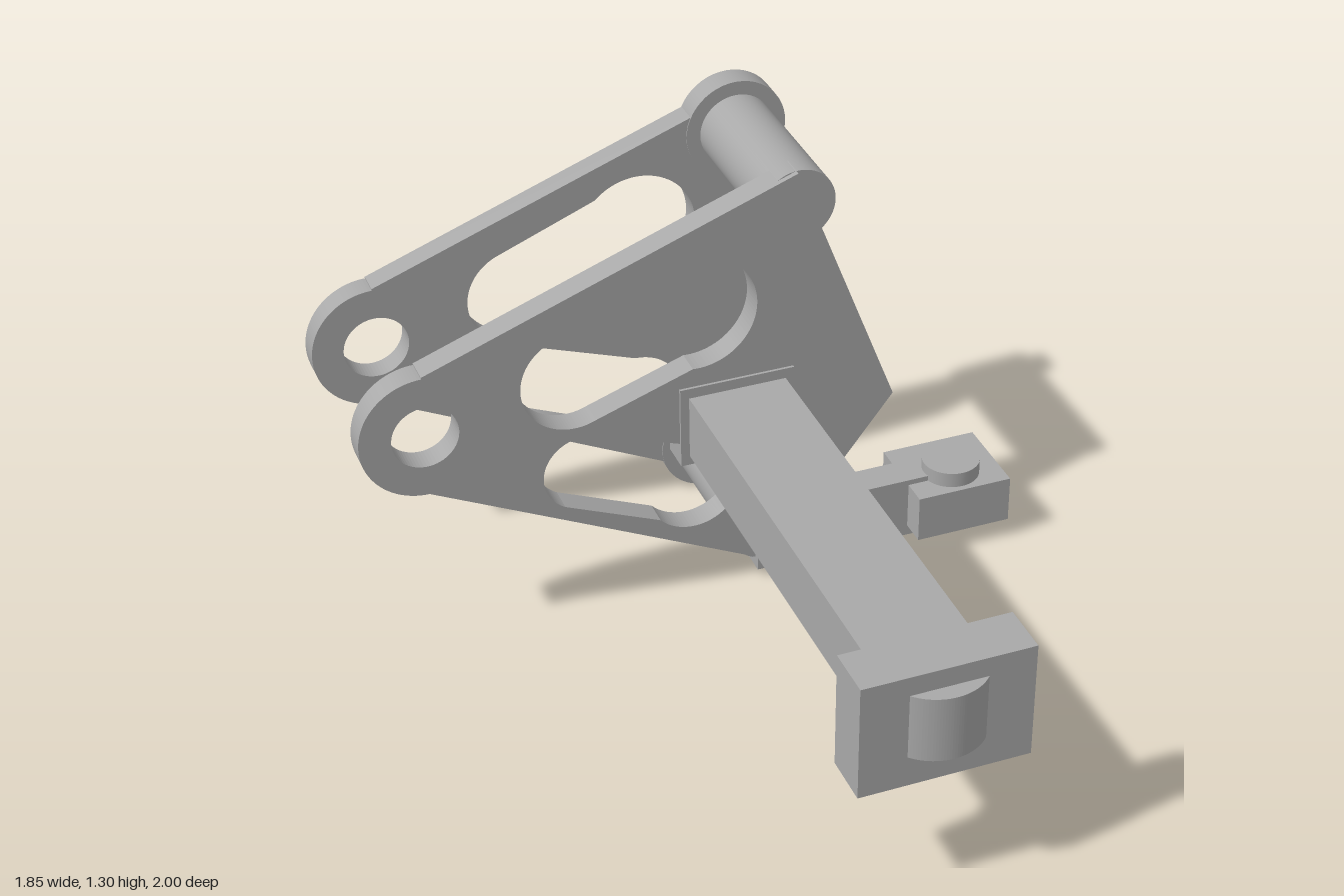
import * as THREE from 'three';

const grey = new THREE.MeshStandardMaterial({ color: 0xa8a8a8 });
grey.name = 'plain grey';

export function createModel() {
  const model = new THREE.Group();
  model.name = 'triangularBracket';

  const add = (name, geometry) => {
    const mesh = new THREE.Mesh(geometry, grey);
    mesh.name = name;
    model.add(mesh);
    return mesh;
  };

  // Box given by its limits on each axis
  const box = (name, x0, x1, y0, y1, z0, z1) =>
    add(name, new THREE.BoxGeometry(x1 - x0, y1 - y0, z1 - z0))
      .position.set((x0 + x1) / 2, (y0 + y1) / 2, (z0 + z1) / 2);

  // Cylinder lying along z
  const rod = (name, x, y, r, z0, z1) => {
    const g = new THREE.CylinderGeometry(r, r, z1 - z0, 48);
    g.rotateX(Math.PI / 2);
    add(name, g).position.set(x, y, (z0 + z1) / 2);
  };

  const extrude = (shape, depth) =>
    new THREE.ExtrudeGeometry(shape, { depth, bevelEnabled: false, curveSegments: 32 });

  const rad = (deg) => deg * Math.PI / 180;

  // Closed slot from a large right arc and a small left arc, joined by straight lines
  const slot = (bx, by, br, b0, b1, sx, sy, sr, s0, s1) => {
    const p = new THREE.Path();
    p.absarc(bx, by, br, rad(b0), rad(b1), true);
    p.absarc(sx, sy, sr, rad(s0), rad(s1), true);
    p.closePath();
    return p;
  };

  // Side plates: pointed outline, rounded nose, one eye and two slots
  const plate = new THREE.Shape();
  plate.moveTo(0.22, 0.045);
  plate.lineTo(0.59, 0.52);
  plate.lineTo(0.30, 1.27);
  plate.lineTo(-0.745, 0.885);
  plate.absarc(-0.745, 0.70, 0.18, rad(90), rad(270), false);
  plate.closePath();
  const eye = new THREE.Path();
  eye.absarc(-0.745, 0.70, 0.092, 0, Math.PI * 2, true);
  plate.holes.push(
    eye,
    slot(0.015, 0.905, 0.17, 135, -95, -0.335, 0.775, 0.147, -67, -250),
    slot(0, 0.355, 0.135, 90, -138, -0.315, 0.48, 0.115, -120, -292),
  );
  add('frontPlate', extrude(plate, 0.075)).position.z = -0.50;
  add('backPlate', extrude(plate, 0.07)).position.z = -0.967;

  // Cross pins with bosses on the back plate
  for (const [name, x, y] of [['upper', 0.308, 1.165], ['lower', 0.22, 0.15]]) {
    rod(name + 'Pin', x, y, 0.105, -1, -0.44);
    rod(name + 'Boss', x, y, 0.145, -0.968, -0.894);
  }

  // Long arm, flat with half-round ends
  const arm = new THREE.Shape();
  arm.absarc(0.125, -0.86, 0.14, Math.PI, Math.PI * 2, false);
  arm.absarc(0.125, 0.47, 0.14, 0, Math.PI, false);
  arm.closePath();
  const armGeometry = extrude(arm, 0.187);
  armGeometry.rotateX(-Math.PI / 2);
  add('longArm', armGeometry).position.y = 0.463;
  box('armCollar', -0.04, 0.29, 0.435, 0.68, -0.508, -0.417);

  // End block with a stadium-shaped pad behind it
  box('armEndBlock', -0.105, 0.352, 0.375, 0.705, 0.815, 0.955);
  const pad = new THREE.Shape();
  pad.absarc(0.25, 0.54, 0.08, -Math.PI / 2, Math.PI / 2, false);
  pad.absarc(0, 0.54, 0.08, Math.PI / 2, Math.PI * 1.5, false);
  pad.closePath();
  add('armEndPad', extrude(pad, 0.03)).position.z = 0.793;

  // Short side arm with its block and button
  box('sideArm', 0.18, 0.81, 0.033, 0.222, -0.50, -0.405);
  box('sideBlock', 0.64, 0.922, 0.065, 0.206, -0.582, -0.328);
  add('sideButton', new THREE.CylinderGeometry(0.083, 0.083, 0.15, 48))
    .position.set(0.78, 0.176, -0.428);

  return model;
}
